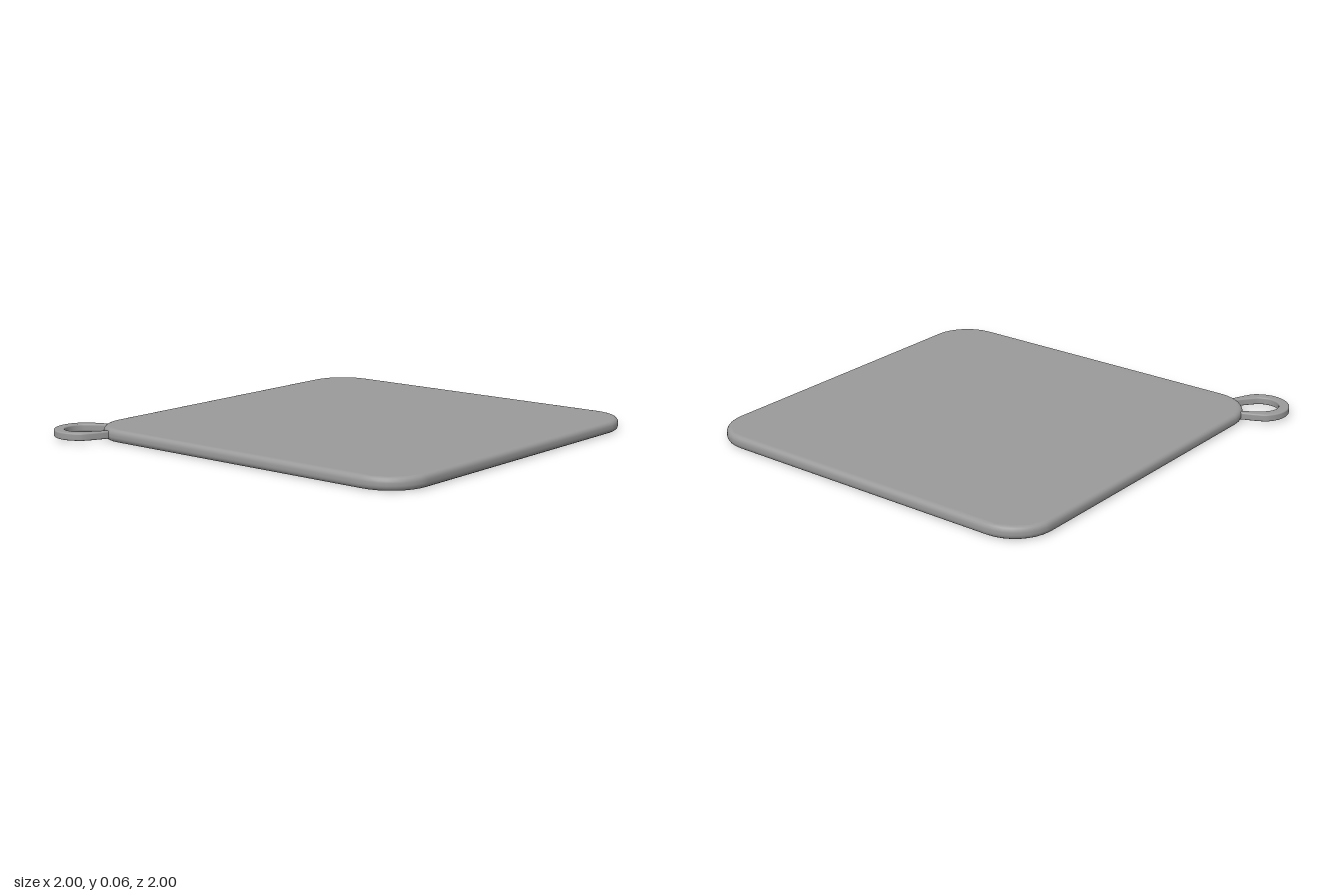
import * as THREE from 'three';
import { mergeVertices } from 'three/addons/utils/BufferGeometryUtils.js';

const material = new THREE.MeshStandardMaterial({ color: 0x9a9a9a });

// Extrudes a plan outline (x, -z) upwards from y0 to y1 with softly rounded rims
function softSlab(name, shape, y0, y1, bevel, curveSegments) {
  let geometry = new THREE.ExtrudeGeometry(shape, {
    depth: y1 - y0 - 2 * bevel,
    bevelThickness: bevel,
    bevelSize: bevel,
    bevelOffset: -bevel,
    bevelSegments: 4,
    curveSegments,
  });
  geometry.rotateX(-Math.PI / 2).translate(0, y0 + bevel, 0);
  geometry.deleteAttribute('uv');
  geometry.deleteAttribute('normal');
  geometry = mergeVertices(geometry, 1e-4);
  geometry.computeVertexNormals();
  const mesh = new THREE.Mesh(geometry, material);
  mesh.name = name;
  return mesh;
}

// Square outline with rounded corners
function roundedSquare(x0, y0, size, r) {
  const s = new THREE.Shape();
  const x1 = x0 + size, y1 = y0 + size, q = Math.PI / 2;
  s.absarc(x1 - r, y0 + r, r, -q, 0);
  s.absarc(x1 - r, y1 - r, r, 0, q);
  s.absarc(x0 + r, y1 - r, r, q, 2 * q);
  s.absarc(x0 + r, y0 + r, r, 2 * q, 3 * q);
  s.closePath();
  return s;
}

// Open loop: a round eye whose arms taper and end tucked into the pad
function loopOutline() {
  const c = 0.865;
  // One edge: an arc of radius r, with straight arms mirrored across the diagonal
  const edge = (r, arm) => {
    const half = arm.map(([x, y]) => new THREE.Vector2(x, y));
    for (let deg = 35; deg <= 135; deg += 20) {
      const a = THREE.MathUtils.degToRad(deg);
      half.push(new THREE.Vector2(-c + r * Math.cos(a), c + r * Math.sin(a)));
    }
    const mirrored = half.slice(0, -1).reverse().map((p) => new THREE.Vector2(-p.y, -p.x));
    return new THREE.SplineCurve([...half, ...mirrored]).getPoints(44);
  };
  const outer = edge(0.135, [[-0.69, 0.77], [-0.713, 0.85]]);
  const inner = edge(0.085, [[-0.718, 0.77], [-0.745, 0.845]]);
  return new THREE.Shape([...outer, ...inner.reverse()]);
}

export function createModel() {
  const model = new THREE.Group();
  model.name = 'potHolder';
  model.add(softSlab('pad', roundedSquare(-0.855, -1, 1.855, 0.2), 0, 0.06, 0.024, 4));
  model.add(softSlab('hangingLoop', loopOutline(), 0.012, 0.048, 0.007, 1));
  return model;
}
